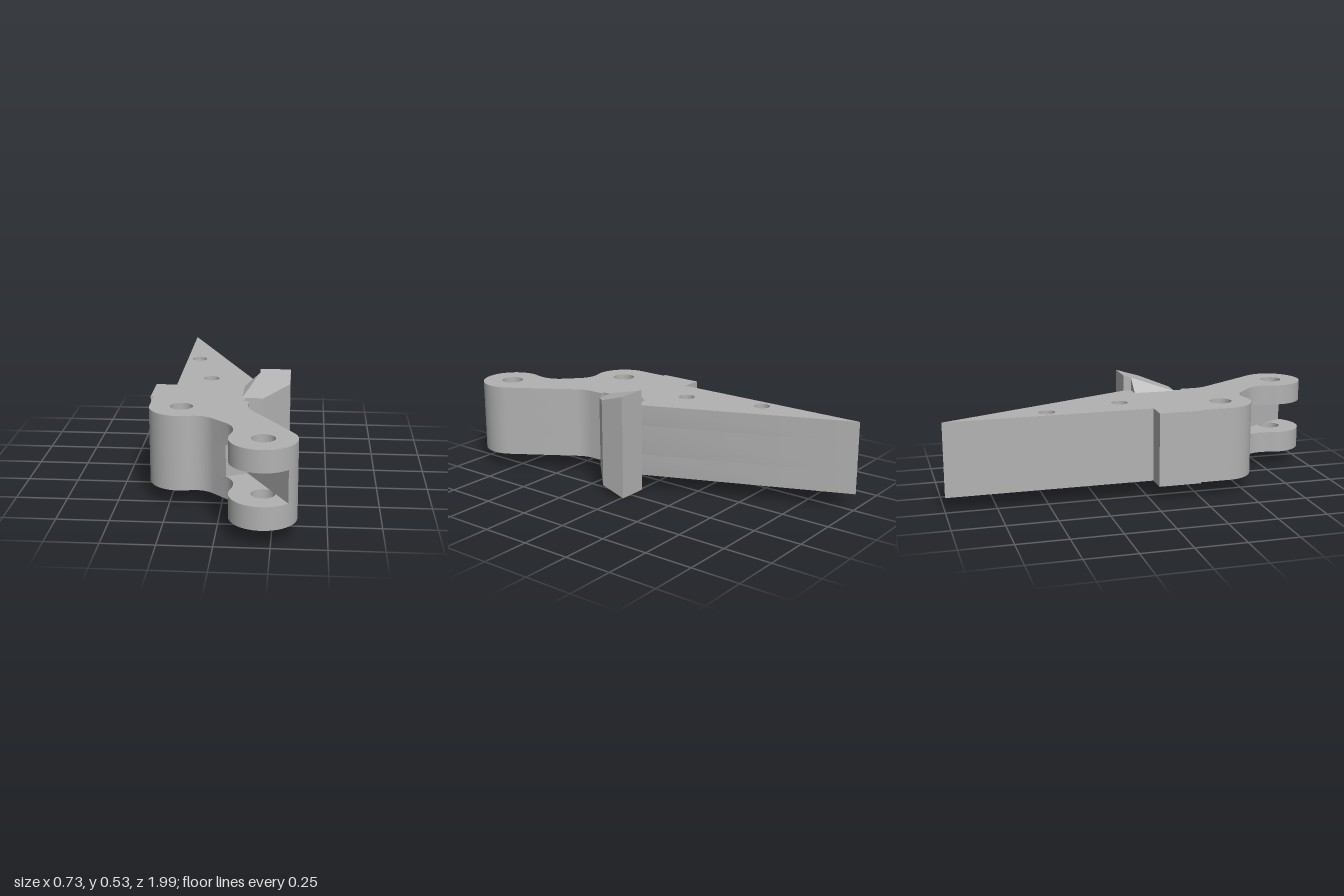
import * as THREE from 'three';
import { toCreasedNormals } from 'three/addons/utils/BufferGeometryUtils.js';
import { ConvexGeometry } from 'three/addons/geometries/ConvexGeometry.js';

const BOTTOM = 0.08, TOP = 0.45, MID = 0.265;
const TIP = [0.21, 0.84], PIVOT = [-0.2, 0.4], R = 0.155;

// Shapes are drawn as (x, z) and extruded downward from the given top
function extrudeDown(shape, y0, y1) {
  const geo = new THREE.ExtrudeGeometry(shape, { depth: y1 - y0, bevelEnabled: false, curveSegments: 28 });
  return geo.rotateX(Math.PI / 2).translate(0, y1, 0);
}

// Plan of the lever; the slotted layer is cut away around the tip eye
function leverShape(slotted) {
  const s = new THREE.Shape();
  s.moveTo(-0.265, -1);
  s.lineTo(0.155, -0.01);
  s.lineTo(0.155, 0.03);
  s.lineTo(0.095, 0.2);
  s.lineTo(0.095, 0.29);
  s.lineTo(0.115, 0.29);
  s.lineTo(0.115, 0.36);
  s.quadraticCurveTo(0.117, 0.41, 0.14, 0.442);
  if (slotted) {
    s.absarc(...TIP, R, -0.567, 0.74, false);
    s.lineTo(0.128, 0.59);
    s.lineTo(0.03, 0.64);
  } else {
    s.absarc(...TIP, R, -0.567, 3.47, false);
    s.quadraticCurveTo(0.085, 0.71, 0.04, 0.65);
  }
  s.lineTo(-0.03, 0.582);
  s.quadraticCurveTo(-0.08, 0.53, -0.15, 0.547);
  s.absarc(...PIVOT, R, 1.24, Math.PI, false);
  s.lineTo(-0.355, 0.245);
  s.lineTo(-0.37, 0.245);
  s.lineTo(-0.37, 0.03);
  s.lineTo(-0.265, 0.03);
  s.closePath();

  const holes = [[...PIVOT, 0.055], [-0.2, -0.49, 0.04], [-0.1, -0.1, 0.04]];
  if (!slotted) holes.push([...TIP, 0.055]);
  for (const [x, z, r] of holes) {
    s.holes.push(new THREE.Path().absarc(x, z, r, 0, Math.PI * 2, true));
  }
  return s;
}

export function createModel() {
  const group = new THREE.Group();
  const grey = new THREE.MeshStandardMaterial({ color: 0xb2b2b2 });
  grey.name = 'grey';
  const add = (name, geo) => {
    const mesh = new THREE.Mesh(geo, grey);
    mesh.name = name;
    group.add(mesh);
  };

  // Lever body in three layers, the middle one leaving the fork slot open
  const layers = [
    ['lowerPlate', BOTTOM, 0.19, false],
    ['slottedCore', 0.19, 0.345, true],
    ['upperPlate', 0.345, TOP, false],
  ];
  for (const [name, y0, y1, slotted] of layers) {
    add(name, toCreasedNormals(extrudeDown(leverShape(slotted), y0, y1), 0.5));
  }

  // Side lug: a straight block whose ends flare toward the back
  const plan = [[0.158, -0.01], [0.312, -0.01], [0.312, 0.12], [0.185, 0.245], [0.08, 0.245], [0.155, 0.03], [0.158, 0.03]];
  const lug = extrudeDown(new THREE.Shape(plan.map(([x, z]) => new THREE.Vector2(x, z))), BOTTOM, TOP);
  const pos = lug.attributes.position;
  for (let i = 0; i < pos.count; i++) {
    const half = 0.186 + 0.079 * (0.245 - pos.getZ(i)) / 0.255;
    pos.setY(i, MID + Math.sign(pos.getY(i) - MID) * half);
  }
  lug.computeVertexNormals();
  add('sideLug', lug);

  // Sloping gussets joining the lug ends to the body faces
  for (const side of [1, -1]) {
    const corners = [[0.08, 0.184, 0.245], [0.08, 0.184, 0.03], [0.155, 0.2526, 0.03], [0.157, 0.184, 0.03]];
    const points = corners.map(([x, h, z]) => new THREE.Vector3(x, MID + side * h, z));
    add(side > 0 ? 'upperGusset' : 'lowerGusset', new ConvexGeometry(points));
  }
  return group;
}
